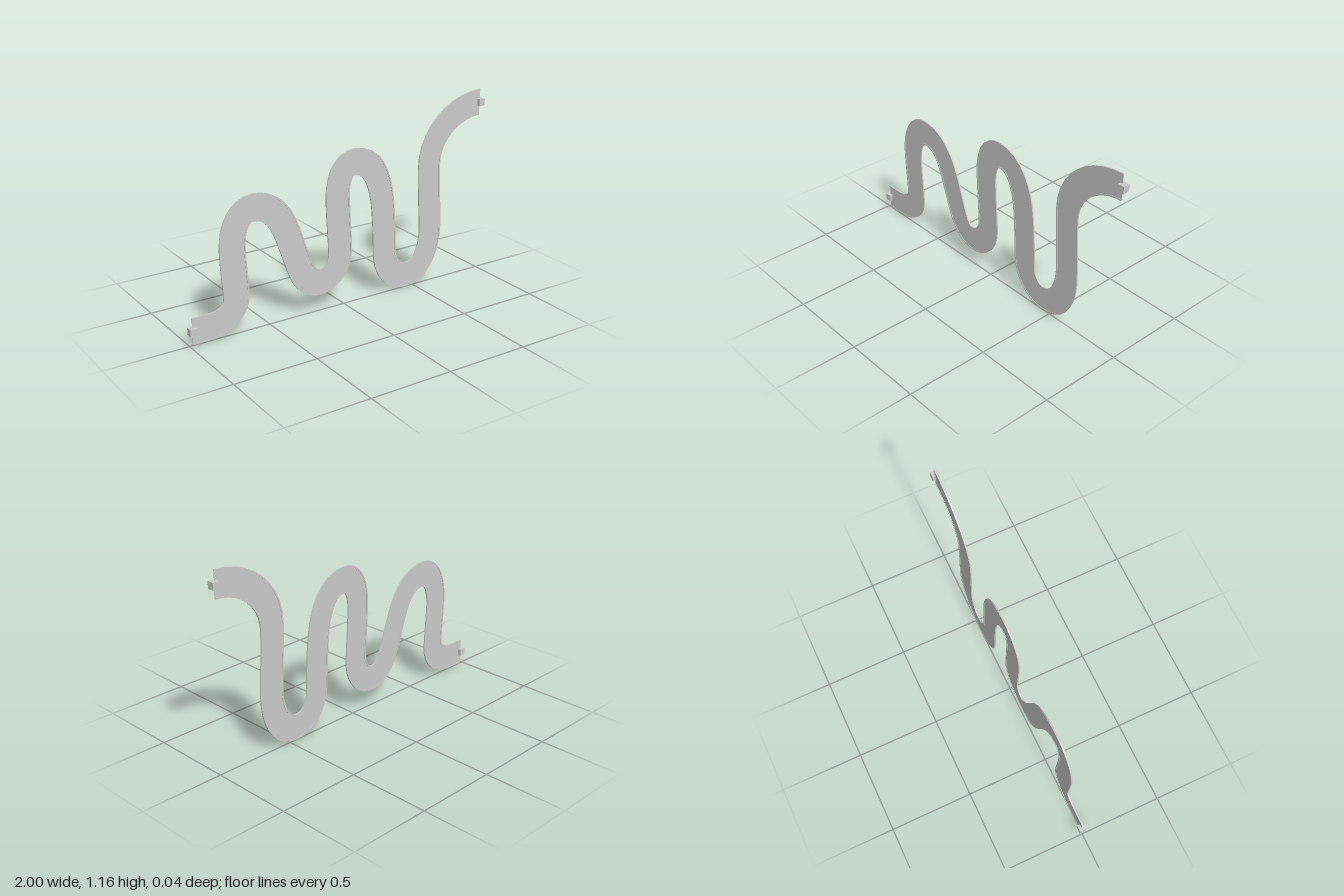
import * as THREE from 'three';

// Centreline knots: x, y, and direction of travel in degrees
const KNOTS = [
  [-0.98, 0.086, 0], [-0.87, 0.088, 1], [-0.705, 0.22, 91], [-0.72, 0.5, 91],
  [-0.59, 0.72, 0], [-0.38, 0.54, -69], [-0.295, 0.3, -69], [-0.163, 0.18, 0],
  [-0.024, 0.345, 92], [-0.04, 0.67, 91], [0.07, 0.862, 0], [0.278, 0.51, -86],
  [0.289, 0.26, -88], [0.447, 0.083, 0], [0.623, 0.36, 92], [0.607, 0.735, 91],
  [0.975, 1.08, 0],
];
const STEPS = 10;
const HALF_WIDTH = 0.08;
const RIM = 0.009;

// Smooth centreline as points with their left-hand normals
function sampleCentreline() {
  const samples = [];
  for (let i = 0; i < KNOTS.length - 1; i++) {
    const [a, b] = [KNOTS[i], KNOTS[i + 1]];
    const p = new THREE.Vector2(a[0], a[1]);
    const q = new THREE.Vector2(b[0], b[1]);
    const reach = p.distanceTo(q) * 0.39;
    const heading = (k) => new THREE.Vector2(Math.cos(k[2] * Math.PI / 180), Math.sin(k[2] * Math.PI / 180));
    const curve = new THREE.CubicBezierCurve(
      p, p.clone().addScaledVector(heading(a), reach),
      q.clone().addScaledVector(heading(b), -reach), q);
    for (let s = i ? 1 : 0; s <= STEPS; s++) {
      const t = curve.getTangent(s / STEPS);
      samples.push({ point: curve.getPoint(s / STEPS), normal: new THREE.Vector2(-t.y, t.x) });
    }
  }
  return samples;
}

// Solid strip between two sideways offsets from the centreline
function strip(name, samples, from, to, depth, material) {
  const edge = (d) => samples.map(({ point, normal }) => point.clone().addScaledVector(normal, d));
  const shape = new THREE.Shape([...edge(from), ...edge(to).reverse()]);
  const geometry = new THREE.ExtrudeGeometry(shape, { depth, bevelEnabled: false });
  geometry.translate(0, 0, -depth / 2);
  const mesh = new THREE.Mesh(geometry, material);
  mesh.name = name;
  return mesh;
}

export function createModel() {
  const group = new THREE.Group();
  group.name = 'windingTrack';
  const material = new THREE.MeshStandardMaterial({ color: 0xcccccc });
  const samples = sampleCentreline();

  // Thin deck with a raised rim along each edge
  const inner = HALF_WIDTH - RIM;
  group.add(strip('trackDeck', samples, -inner, inner, 0.003, material));
  group.add(strip('upperRim', samples, inner, HALF_WIDTH, 0.008, material));
  group.add(strip('lowerRim', samples, -HALF_WIDTH, -inner, 0.008, material));

  // Small connector cube at each end
  for (const [name, x, y] of [['startConnector', -0.98, 0.086], ['endConnector', 0.98, 1.08]]) {
    const cube = new THREE.Mesh(new THREE.BoxGeometry(0.04, 0.042, 0.04), material);
    cube.name = name;
    cube.position.set(x, y, 0);
    group.add(cube);
  }
  return group;
}
